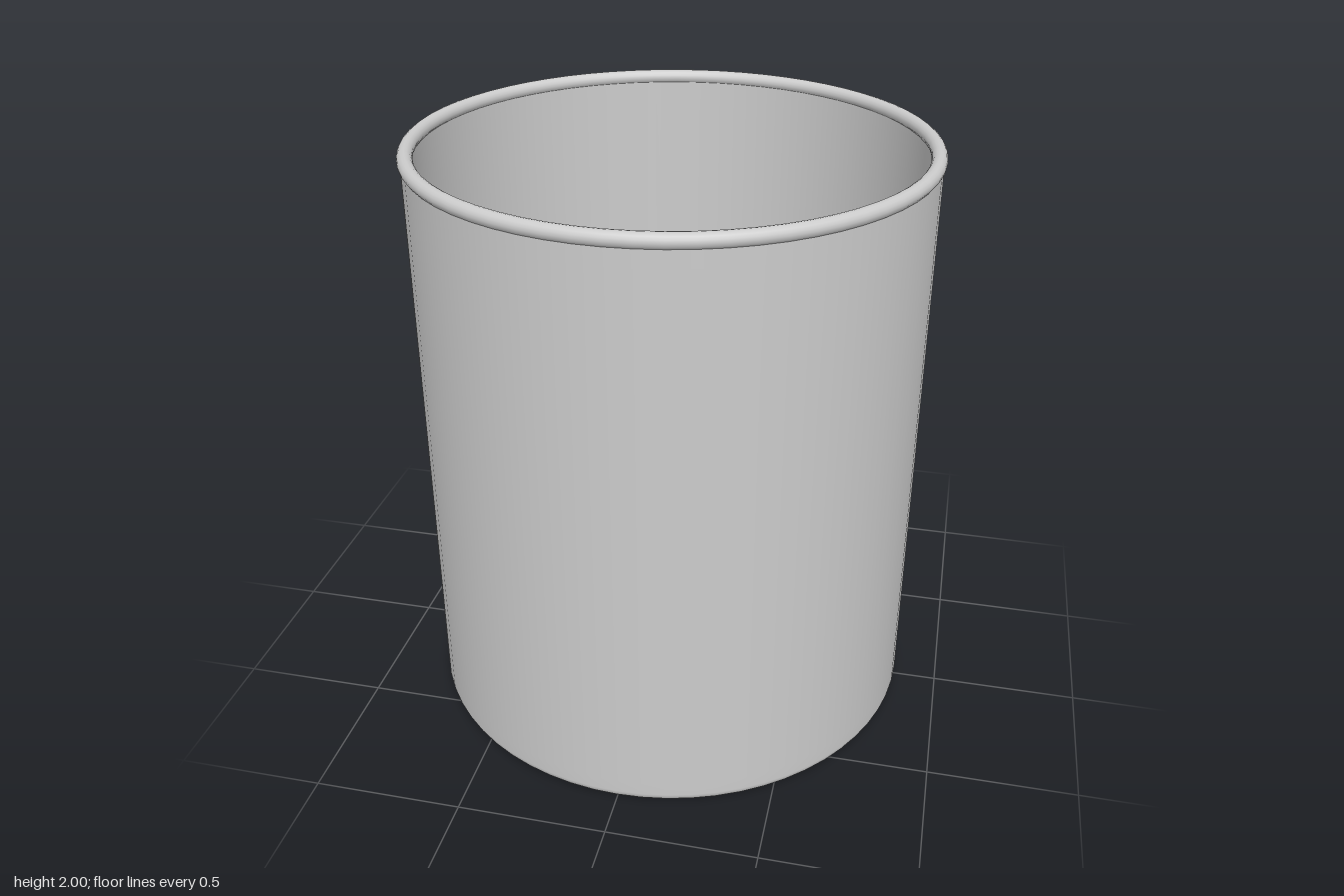
import * as THREE from 'three';

const SEGMENTS = 64;

// Adds points of a circular arc (angles in degrees) to a profile
function arc(points, cx, cy, r, from, to, steps) {
  for (let i = 0; i <= steps; i++) {
    const a = THREE.MathUtils.degToRad(from + ((to - from) * i) / steps);
    points.push(new THREE.Vector2(cx + r * Math.cos(a), cy + r * Math.sin(a)));
  }
}

function lathe(name, points, material) {
  const mesh = new THREE.Mesh(new THREE.LatheGeometry(points, SEGMENTS), material);
  mesh.name = name;
  return mesh;
}

export function createModel() {
  const group = new THREE.Group();
  group.name = 'can';
  const material = new THREE.MeshStandardMaterial({ color: 0xcccccc });

  // Underside with three shallow concentric grooves
  const outer = [new THREE.Vector2(0, 0)];
  for (const r of [0.21, 0.45, 0.68]) {
    for (let i = -4; i <= 4; i++) {
      const depth = 0.006 * (1 + Math.cos((i / 4) * Math.PI));
      outer.push(new THREE.Vector2(r + i * 0.008, depth));
    }
  }
  // Rounded lower edge and straight outer wall
  outer.push(new THREE.Vector2(0.78, 0));
  arc(outer, 0.815, 0.035, 0.035, -90, 0, 6);
  outer.push(new THREE.Vector2(0.85, 0.08), new THREE.Vector2(0.85, 1.9), new THREE.Vector2(0.85, 1.97));
  group.add(lathe('outerShell', outer, material));

  // Inner wall, rounded into the flat floor
  const inner = [new THREE.Vector2(0.815, 1.97), new THREE.Vector2(0.815, 0.12)];
  arc(inner, 0.775, 0.08, 0.04, 0, -90, 6);
  inner.push(new THREE.Vector2(0.74, 0.04), new THREE.Vector2(0, 0.04));
  group.add(lathe('innerShell', inner, material));

  // Rolled rim
  const rim = [];
  arc(rim, 0.834, 1.975, 0.025, -90, 270, 16);
  group.add(lathe('rolledRim', rim, material));

  return group;
}
